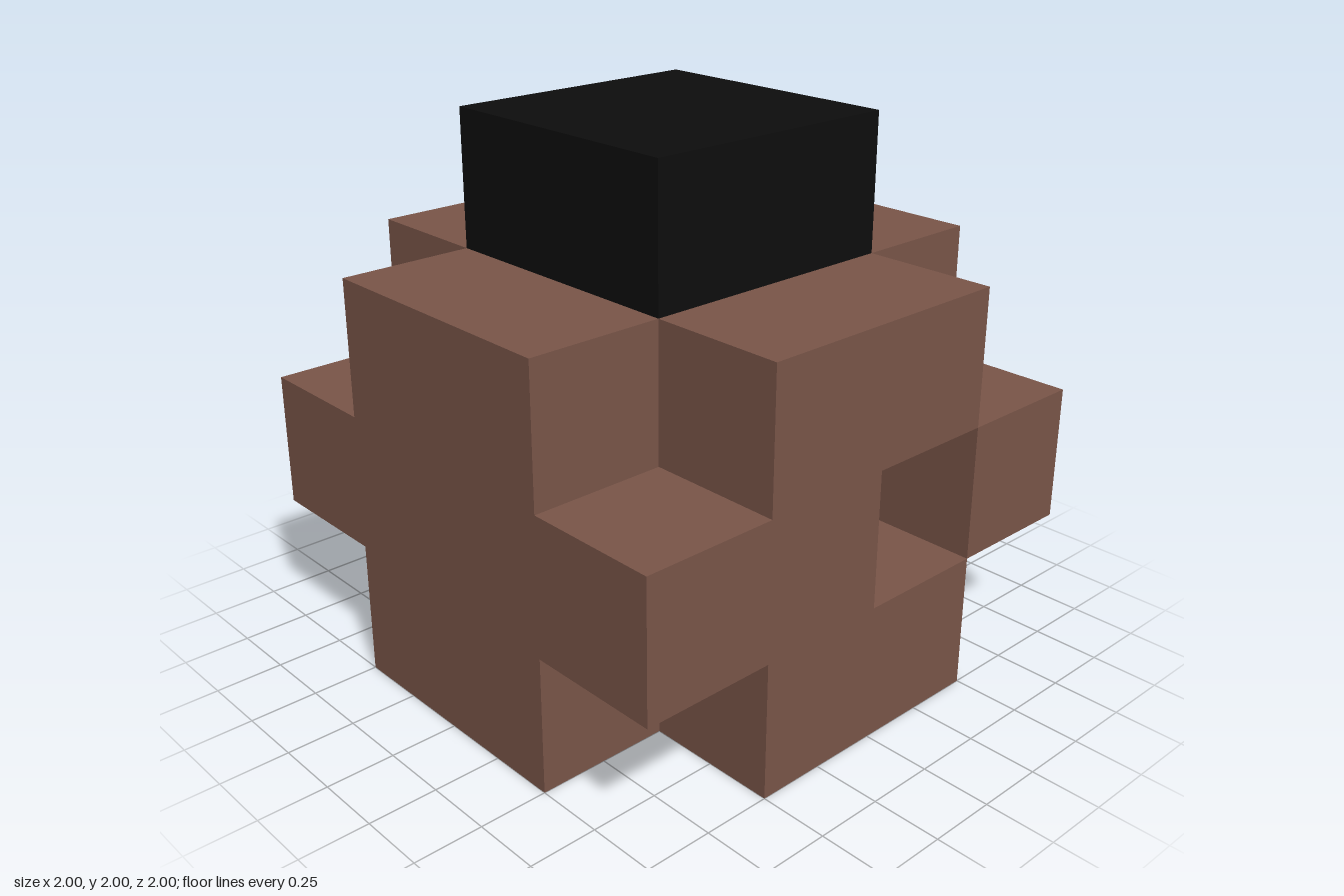
import * as THREE from 'three';

export function createModel() {
  const model = new THREE.Group();
  const brown = new THREE.MeshStandardMaterial({ color: 0x795548 });
  brown.name = 'brown';
  const black = new THREE.MeshStandardMaterial({ color: 0x0d0d0d });
  black.name = 'black';

  // Adds a box spanning two opposite corners
  function block(name, material, [x0, y0, z0], [x1, y1, z1]) {
    const geometry = new THREE.BoxGeometry(x1 - x0, y1 - y0, z1 - z0);
    const mesh = new THREE.Mesh(geometry, material);
    mesh.position.set((x0 + x1) / 2, (y0 + y1) / 2, (z0 + z1) / 2);
    mesh.name = name;
    model.add(mesh);
  }

  // Body: full-width core
  block('bodyCore', brown, [-1, 0, -0.5], [1, 1.5, 0.5]);

  // Back: cross-shaped layer with the corners cut away
  block('backUpper', brown, [-0.5, 1, -1], [0.5, 1.5, -0.5]);
  block('backMiddle', brown, [-1, 0.5, -1], [1, 1, -0.5]);
  block('backLower', brown, [-0.5, 0, -1], [0.5, 0.5, -0.5]);

  // Front: the same cross, with a square recess left of centre
  block('frontUpper', brown, [-0.5, 1, 0.5], [0.5, 1.5, 1]);
  block('frontMiddleRight', brown, [-1, 0.5, 0.5], [0, 1, 1]);
  block('frontMiddleLeft', brown, [0.5, 0.5, 0.5], [1, 1, 1]);
  block('frontLower', brown, [-0.5, 0, 0.5], [0.5, 0.5, 1]);

  // Cap on top
  block('cap', black, [-0.5, 1.5, -0.5], [0.5, 2, 0.5]);

  return model;
}
